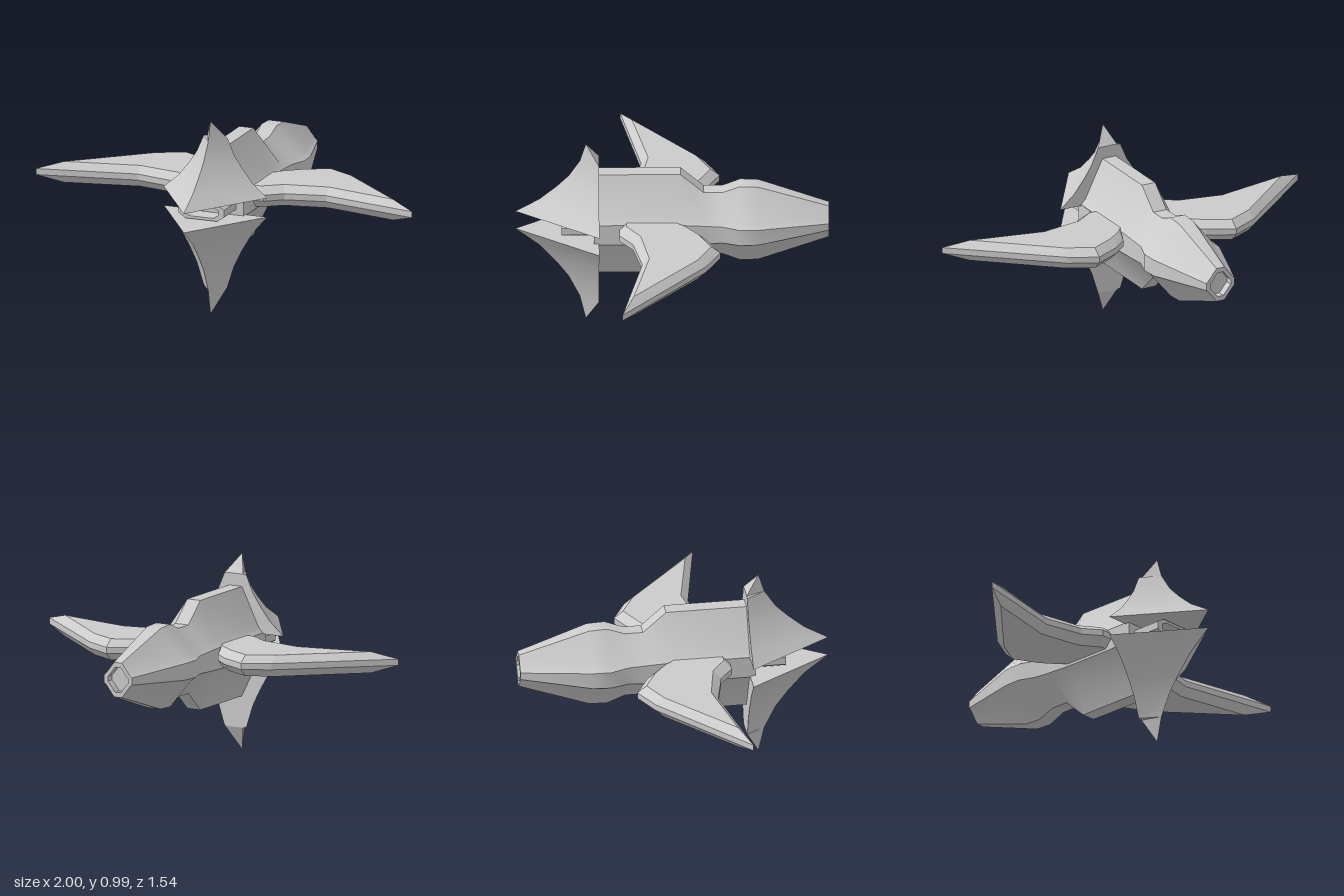
import * as THREE from 'three';
import { toCreasedNormals } from 'three/addons/utils/BufferGeometryUtils.js';

const MID = 0.563; // height of the craft's centre line
const grey = new THREE.MeshStandardMaterial({ color: 0xcccccc });
const V = (x, y, z) => new THREE.Vector3(x, y, z);

const centre = (pts) => pts.reduce((s, p) => s.add(p), V(0, 0, 0)).divideScalar(pts.length);

// Joins equal-length closed sections, caps both ends, and faces everything outward.
// u and v are the axes of the plane in which the caps are triangulated.
function loft(sections, u, v, crease = 0.4) {
  const walls = [];
  for (let k = 0; k + 1 < sections.length; k++) {
    const a = sections[k], b = sections[k + 1];
    for (let i = 0; i < a.length; i++) {
      const j = (i + 1) % a.length;
      walls.push([a[i], a[j], b[j]], [a[i], b[j], b[i]]);
    }
  }
  const mid = centre(sections.flat());
  const volume = walls.reduce((s, t) => {
    const [p, q, r] = t.map((c) => c.clone().sub(mid));
    return s + p.dot(q.cross(r));
  }, 0);
  if (volume < 0) walls.forEach((t) => t.reverse());

  const first = sections[0], last = sections[sections.length - 1];
  const axis = centre(last).sub(centre(first));
  const caps = [];
  for (const [loop, sign] of [[first, -1], [last, 1]]) {
    const flat = loop.map((p) => new THREE.Vector2(p[u], p[v]));
    for (const f of THREE.ShapeUtils.triangulateShape(flat, [])) {
      const t = f.map((i) => loop[i]);
      const n = t[1].clone().sub(t[0]).cross(t[2].clone().sub(t[0]));
      if (n.dot(axis) * sign < 0) t.reverse();
      caps.push(t);
    }
  }
  const geometry = new THREE.BufferGeometry().setFromPoints([...walls, ...caps].flat());
  return toCreasedNormals(geometry, crease);
}

// Twelve-sided hull section: narrow roof and keel, chamfers, upright sides
function hullSection([z, height, width, roof, shoulder, side], scale = 1) {
  const q = [[roof, height], [width - (width - roof) * 0.2, shoulder], [width, side]];
  const right = [...q, ...q.map(([x, y]) => [x, -y]).reverse()];
  const all = [...right, ...right.map(([x, y]) => [-x, y]).reverse()];
  return all.map(([x, y]) => V(x * scale, MID + y * scale, z));
}

// Flattened octagon across the z axis
function octagon(w, h, z) {
  return [[1, 0.45], [0.7, 1], [-0.7, 1], [-1, 0.45], [-1, -0.45], [-0.7, -1], [0.7, -1], [1, -0.45]]
    .map(([x, y]) => V(x * w, MID + y * h, z));
}

// Jaw: nested triangles shrinking toward a slanted tip
function jawGeometry(base, scale) {
  const steps = [[0.275, 0], [0.195, 0.07], [0.14, 0.14], [0.1, 0.2], [0.063, 0.285]];
  const sections = steps.map(([w, h]) => {
    const y = base + h * scale;
    return [V(-w, y, 0.36), V(w, y, 0.36), V(0, y, 0.36 + w * 1.5)];
  });
  const back = base + 0.288 * scale;
  sections.push([V(-0.044, back, 0.36), V(0.044, back, 0.36), V(0, base + 0.38 * scale, 0.425)]);
  return loft(sections, 'x', 'z', 0.3);
}

// Wing: swept outline with bevelled rim, in [x, z]
function wingGeometry(side) {
  const rim = [[0.1, -0.02], [0.157, -0.06], [0.175, -0.1], [0.25, -0.165], [0.385, -0.235], [0.52, -0.165],
    [1, 0.25], [0.5, 0.15], [0.3, 0.195], [0.215, 0.26], [0.1, 0.26]];
  const face = [[0.1, 0.02], [0.157, -0.03], [0.18, -0.06], [0.26, -0.125], [0.385, -0.19], [0.52, -0.12],
    [0.875, 0.193], [0.5, 0.115], [0.28, 0.157], [0.185, 0.225], [0.1, 0.225]];
  const layer = (pts, y) => pts.map(([x, z]) => V(side * x, y, z));
  return loft([layer(face, 0.628), layer(rim, 0.593), layer(rim, 0.562), layer(face, 0.521)], 'x', 'z', 0.15);
}

export function createModel() {
  const model = new THREE.Group();
  const add = (name, geometry) => {
    const mesh = new THREE.Mesh(geometry, grey);
    mesh.name = name;
    model.add(mesh);
    return mesh;
  };

  // Hull stations from nose to tail: z, half height, half width, roof, shoulder, side
  const stations = [
    [0.36, 0.275, 0.157, 0.037, 0.08, 0.055],
    [-0.04, 0.275, 0.157, 0.037, 0.08, 0.055],
    [-0.155, 0.172, 0.157, 0.037, 0.07, 0.05],
    [-0.245, 0.172, 0.157, 0.037, 0.065, 0.045],
    [-0.335, 0.207, 0.188, 0.04, 0.065, 0.043],
    [-0.425, 0.203, 0.184, 0.04, 0.06, 0.042],
    [-0.77, 0.087, 0.08, 0.022, 0.028, 0.018],
  ];
  const tail = stations[stations.length - 1];
  const hull = stations.map((s) => hullSection(s));
  // Shallow exhaust recess at the tail
  hull.push(hullSection(tail, 0.72), hullSection([-0.73, ...tail.slice(1)], 0.72));
  add('hull', loft(hull, 'x', 'y', 0.6));

  // Upper and lower jaws
  add('upperJaw', jawGeometry(0.612, 1));
  add('lowerJaw', jawGeometry(0.515, -1.342));

  // Collar and hollow cannon between the jaws
  add('cannonCollar', new THREE.BoxGeometry(0.318, 0.108, 0.115)).position.set(0, MID, 0.328);
  add('cannon', loft([octagon(0.12, 0.042, 0.37), octagon(0.12, 0.042, 0.545),
    octagon(0.09, 0.028, 0.545), octagon(0.082, 0.024, 0.46)], 'x', 'y', 0.2));

  for (const [name, side] of [['leftWing', 1], ['rightWing', -1]]) add(name, wingGeometry(side));
  return model;
}
